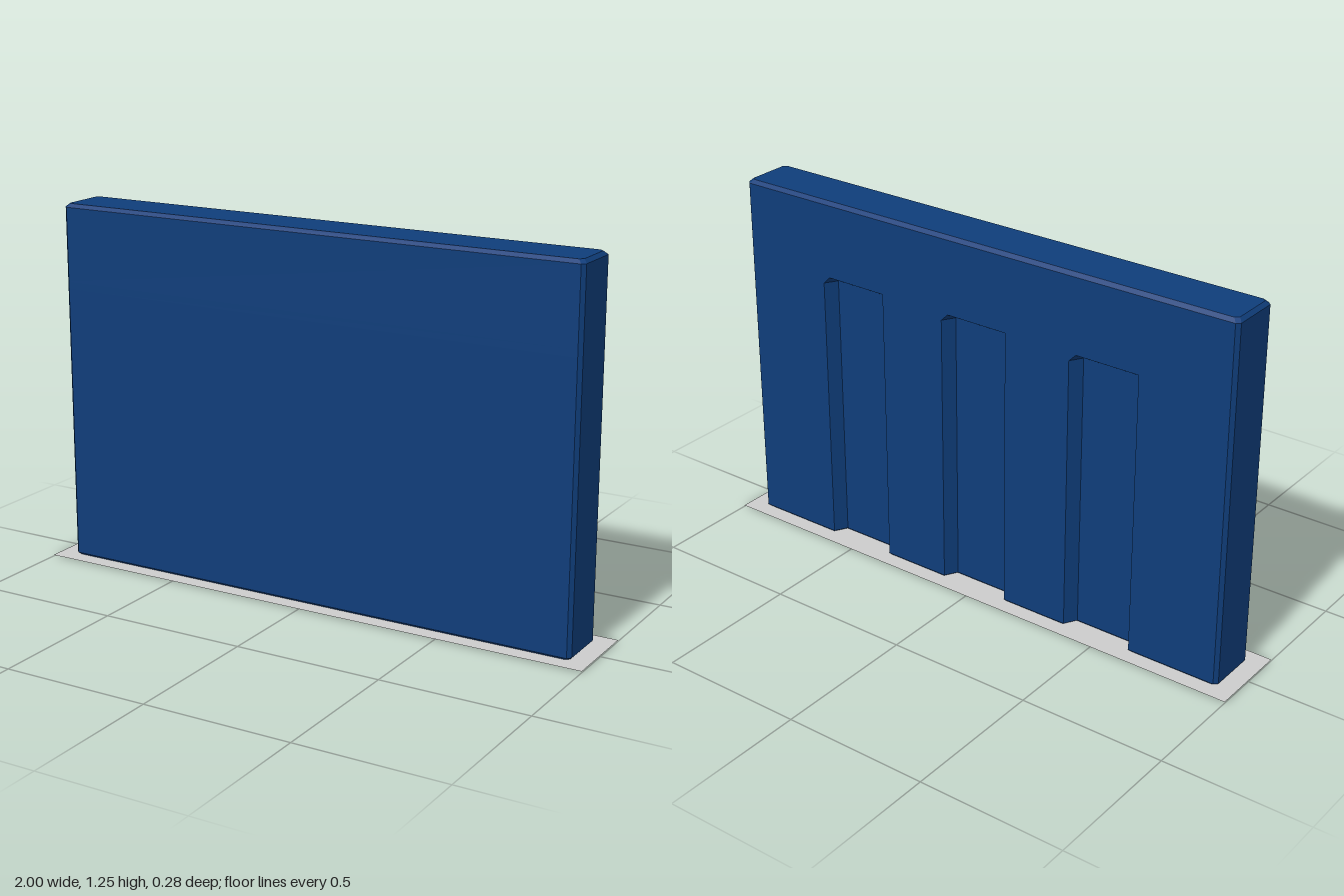
import * as THREE from 'three';
import { toCreasedNormals } from 'three/addons/utils/BufferGeometryUtils.js';

const HX = 0.94, HZ = 0.093, HEIGHT = 1.245, BEVEL = 0.012;
const NICHES = [0.49, 0, -0.49]; // niche centres on the back, in walking order
const HALF = 0.125, SLOPE = 0.025, DEPTH = 0.043, NICHE_TOP = 0.98;

// Plan outline of the wall, shrunk by inset, with niches cut to a given depth
function outline(inset, depth) {
  const x = HX - inset, z = HZ - inset, c = BEVEL;
  const pts = [[-x + c, z], [x - c, z], [x, z - c], [x, -z + c], [x - c, -z]];
  for (const n of NICHES) {
    pts.push(
      [n + HALF + inset, -z], [n + HALF - SLOPE + inset, -z + depth],
      [n - HALF + SLOPE - inset, -z + depth], [n - HALF - inset, -z]
    );
  }
  pts.push([-x + c, -z], [-x, -z + c], [-x, z - c]);
  return pts;
}

// Stacked outlines joined into a skin, open below and capped on top
function wallGeometry() {
  const rings = [
    [0, BEVEL, DEPTH],
    [BEVEL, 0, DEPTH],
    [NICHE_TOP - SLOPE, 0, DEPTH],
    [NICHE_TOP, 0, 0],
    [HEIGHT - BEVEL, 0, 0],
    [HEIGHT, BEVEL, 0],
  ];
  const pos = [], index = [];
  for (const [y, inset, depth] of rings) {
    for (const [x, z] of outline(inset, depth)) pos.push(x, y, z);
  }
  const n = outline(0, 0).length;
  for (let r = 0; r < rings.length - 1; r++) {
    for (let i = 0; i < n; i++) {
      const a = r * n + i, b = r * n + (i + 1) % n;
      index.push(a, b, b + n, a, b + n, a + n);
    }
  }
  const last = (rings.length - 1) * n, centre = pos.length / 3;
  pos.push(0, HEIGHT, 0);
  for (let i = 0; i < n; i++) index.push(centre, last + i, last + (i + 1) % n);
  const g = new THREE.BufferGeometry();
  g.setAttribute('position', new THREE.Float32BufferAttribute(pos, 3));
  g.setIndex(index);
  return toCreasedNormals(g, 0.5);
}

export function createModel() {
  const model = new THREE.Group();
  model.name = 'nichedWall';

  // Wall with three niches in its back
  const wall = new THREE.Mesh(
    wallGeometry(),
    new THREE.MeshStandardMaterial({ color: 0x0f3d7a, side: THREE.DoubleSide })
  );
  wall.name = 'wall';
  model.add(wall);

  // Thin ground sheet
  const sheet = new THREE.Mesh(
    new THREE.PlaneGeometry(2, 0.285).rotateX(-Math.PI / 2),
    new THREE.MeshStandardMaterial({ color: 0xcccccc, side: THREE.DoubleSide })
  );
  sheet.name = 'groundSheet';
  sheet.position.y = 0.004;
  model.add(sheet);

  return model;
}
